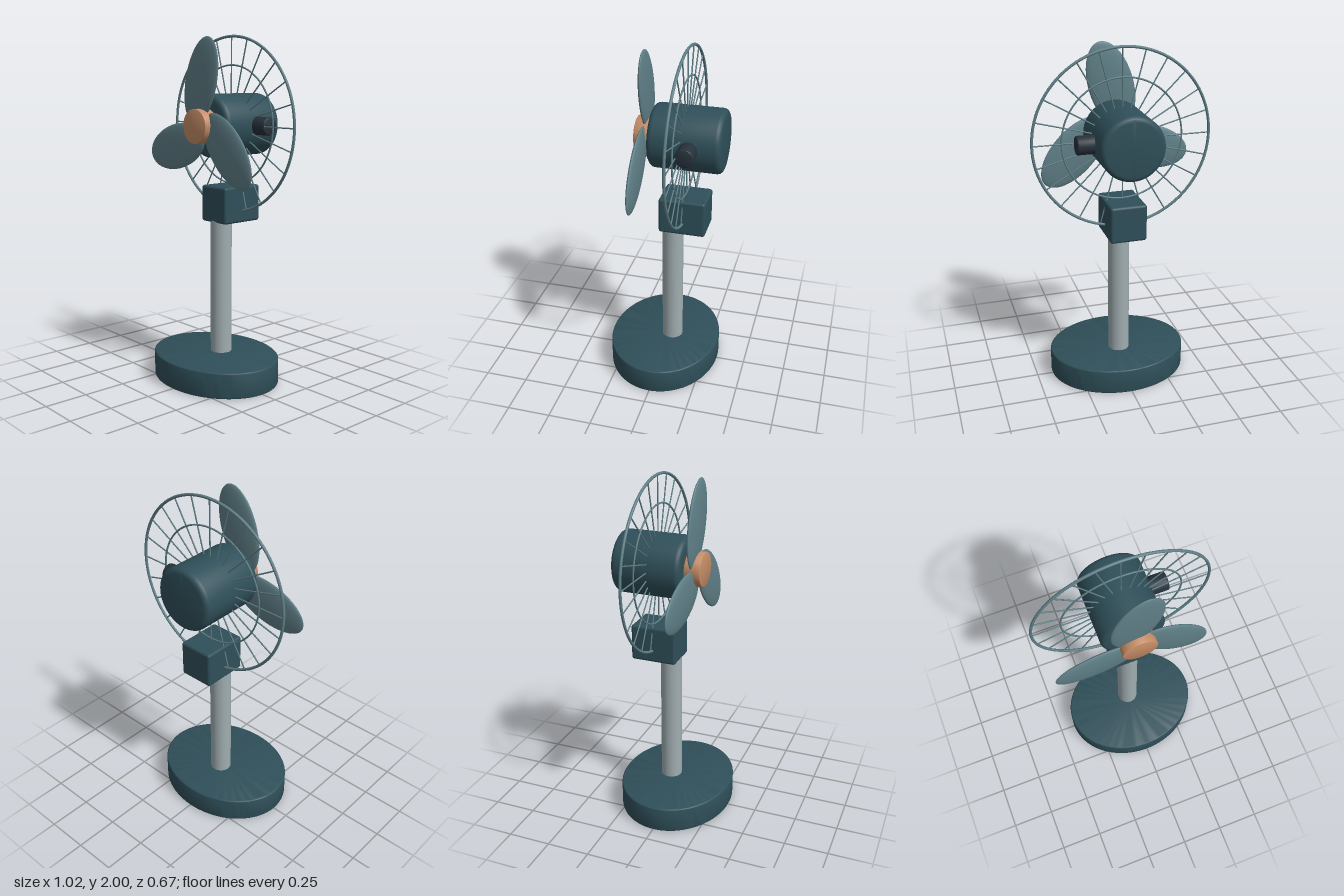
import * as THREE from 'three';
import { toCreasedNormals } from 'three/addons/utils/BufferGeometryUtils.js';
import { RoundedBoxGeometry } from 'three/addons/geometries/RoundedBoxGeometry.js';

const paint = (name, color) => {
  const m = new THREE.MeshStandardMaterial({ color });
  m.name = name;
  return m;
};

// Solid cylinder along y, centred, with rounded rims
function roundedCylinder(radius, height, fillet, segments = 64) {
  const h = height / 2, steps = 5, points = [new THREE.Vector2(0, -h)];
  for (const side of [-1, 1]) {
    for (let i = 0; i <= steps; i++) {
      const a = (side < 0 ? i - steps : i) / steps * Math.PI / 2;
      points.push(new THREE.Vector2(
        radius - fillet + fillet * Math.cos(a),
        side * (h - fillet) + fillet * Math.sin(a)));
    }
  }
  points.push(new THREE.Vector2(0, h));
  return toCreasedNormals(new THREE.LatheGeometry(points, segments), 0.5);
}

export function createModel() {
  const teal = paint('dark teal', 0x2f4f59);
  const slate = paint('slate blue', 0x5f7f87);
  const steel = paint('pale steel', 0xa0adb0);
  const copper = paint('copper', 0xc48c66);
  const ink = paint('ink', 0x27313b);

  const model = new THREE.Group();
  model.name = 'pedestalFan';
  const add = (name, geometry, material, x, y, z, parent = model) => {
    const mesh = new THREE.Mesh(geometry, material);
    mesh.name = name;
    mesh.position.set(x, y, z);
    parent.add(mesh);
    return mesh;
  };
  const axisY = 1.488;

  // Oval base, pole and neck block
  const base = roundedCylinder(0.408, 0.15, 0.01, 80);
  base.scale(1, 1, 0.81);
  add('base', base, teal, 0, 0.075, 0);
  add('pole', new THREE.CylinderGeometry(0.062, 0.062, 0.84, 40), steel, 0, 0.55, -0.043);
  add('neckBlock', new RoundedBoxGeometry(0.21, 0.212, 0.27, 3, 0.015), teal, 0, 1.034, -0.116);

  // Motor housing, hub and side knob
  add('motor', roundedCylinder(0.18, 0.406, 0.03).rotateX(Math.PI / 2), teal, 0, axisY, -0.134);
  add('hub', roundedCylinder(0.098, 0.12, 0.004, 48).rotateX(Math.PI / 2), copper, 0, axisY, 0.1);
  add('knob', roundedCylinder(0.052, 0.12, 0.008, 32).rotateZ(Math.PI / 2), ink, 0.213, axisY, -0.165);

  // Three flattened, slightly canted blades
  const blades = new THREE.Group();
  blades.name = 'blades';
  blades.position.set(0, axisY, 0.108);
  model.add(blades);
  const blade = new THREE.SphereGeometry(1, 40, 28);
  blade.scale(0.13, 0.25, 0.023);
  blade.rotateZ(-0.29);
  blade.translate(0, 0.25, 0);
  for (let i = 0; i < 3; i++) {
    add('blade', blade, slate, 0, 0, 0, blades).rotation.z = i * Math.PI * 2 / 3;
  }

  // Wire guard: two rings and radial spokes
  const guard = new THREE.Group();
  guard.name = 'guard';
  guard.position.set(0, axisY, -0.12);
  model.add(guard);
  add('outerRing', new THREE.TorusGeometry(0.501, 0.008, 10, 96), slate, 0, 0, 0, guard);
  add('innerRing', new THREE.TorusGeometry(0.34, 0.005, 8, 80), slate, 0, 0, 0, guard);
  const spoke = new THREE.CylinderGeometry(0.004, 0.004, 0.45, 8);
  spoke.translate(0, 0.275, 0);
  for (let i = 0; i < 24; i++) {
    add('spoke', spoke, slate, 0, 0, 0, guard).rotation.z = i * Math.PI / 12;
  }

  return model;
}
